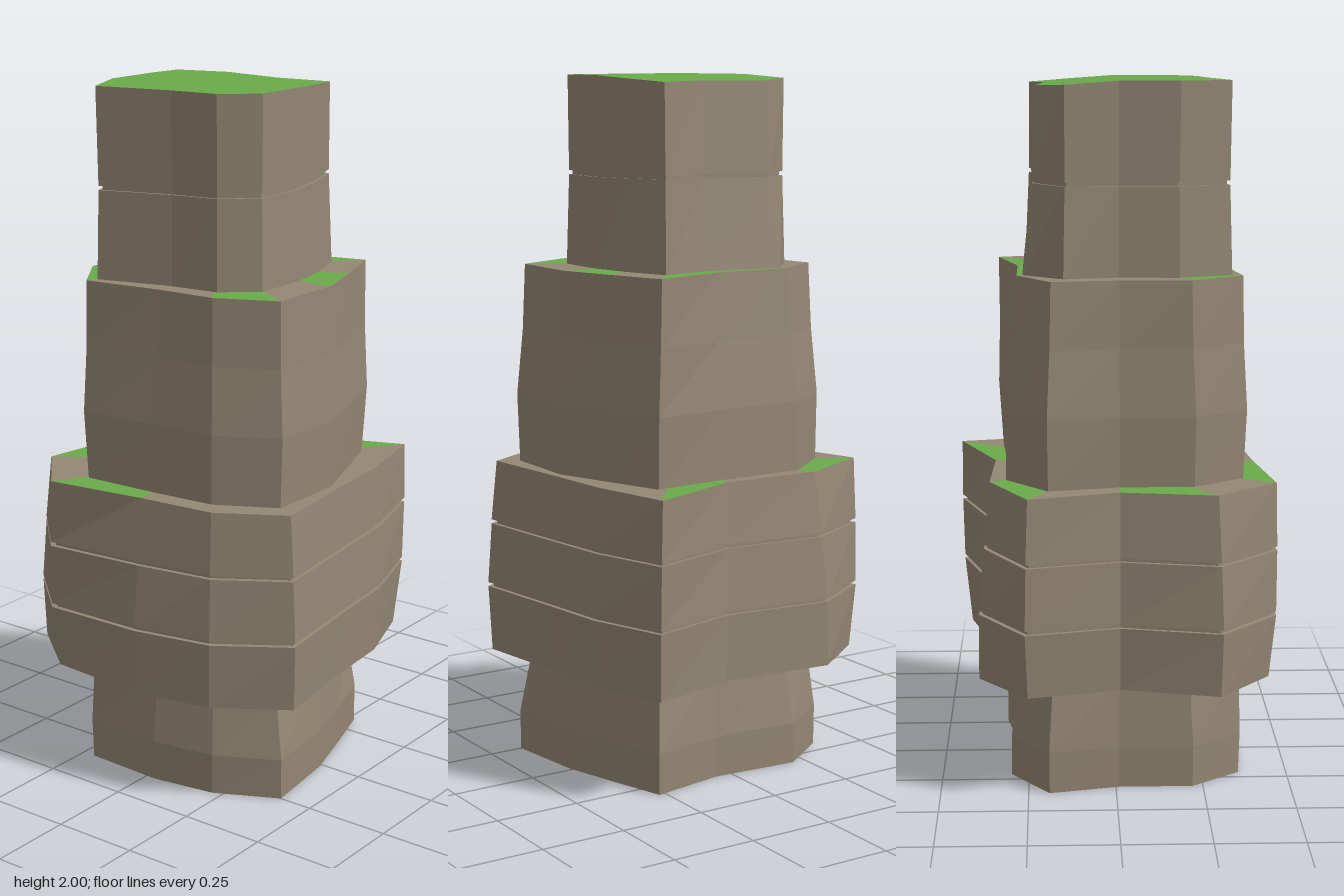
import * as THREE from 'three';

const N = 12; // corners per outline, running from +x towards +z

const rock = new THREE.MeshStandardMaterial({ color: 0x948774, flatShading: true });
rock.name = 'rock';
const grass = new THREE.MeshStandardMaterial({ color: 0x6aaa4a, flatShading: true });
grass.name = 'grass';

// Outlines as x, z pairs: lower and upper edge of each tier
const OUTLINES = {
  base: [
    [0.37, 0.01, 0.40, 0.25, 0.22, 0.34, 0.03, 0.37, -0.21, 0.36, -0.32, 0.22,
      -0.32, 0.01, -0.365, -0.19, -0.21, -0.30, 0.05, -0.28, 0.27, -0.32, 0.32, -0.16],
    [0.35, 0.01, 0.365, 0.23, 0.21, 0.32, 0.03, 0.35, -0.20, 0.36, -0.31, 0.21,
      -0.31, 0.01, -0.34, -0.18, -0.19, -0.27, 0.05, -0.26, 0.25, -0.29, 0.31, -0.15],
  ],
  wide: [
    [0.43, 0.01, 0.47, 0.29, 0.27, 0.42, 0.04, 0.465, -0.265, 0.44, -0.45, 0.29,
      -0.38, 0.01, -0.45, -0.25, -0.265, -0.39, 0.07, -0.36, 0.335, -0.43, 0.41, -0.21],
    [0.42, 0.01, 0.45, 0.285, 0.26, 0.395, 0.03, 0.415, -0.27, 0.455, -0.425, 0.28,
      -0.38, 0.01, -0.46, -0.247, -0.235, -0.355, 0.06, -0.345, 0.345, -0.455, 0.40, -0.21],
  ],
  middle: [
    [0.395, 0.01, 0.39, 0.25, 0.22, 0.34, 0.03, 0.355, -0.205, 0.365, -0.315, 0.22,
      -0.315, 0.01, -0.36, -0.19, -0.21, -0.31, 0.055, -0.31, 0.275, -0.325, 0.335, -0.16],
    [0.38, 0.01, 0.375, 0.235, 0.205, 0.315, 0.03, 0.325, -0.205, 0.36, -0.31, 0.21,
      -0.305, 0.01, -0.335, -0.18, -0.185, -0.275, 0.05, -0.275, 0.27, -0.335, 0.33, -0.16],
  ],
  top: [
    [0.275, 0.01, 0.27, 0.175, 0.175, 0.255, 0.03, 0.272, -0.19, 0.33, -0.25, 0.18,
      -0.24, 0.01, -0.275, -0.145, -0.175, -0.26, 0.05, -0.23, 0.205, -0.255, 0.25, -0.12],
    [0.27, 0.01, 0.265, 0.17, 0.17, 0.25, 0.03, 0.27, -0.19, 0.325, -0.25, 0.18,
      -0.24, 0.01, -0.27, -0.14, -0.15, -0.22, 0.05, -0.197, 0.20, -0.24, 0.24, -0.12],
  ],
};

// One row of corners: blend of both outlines, scaled, with a slight slope in y
function ring([lower, upper], { y, t, s = 1, kx = 0, kz = 0 }) {
  return Array.from({ length: N }, (_, i) => {
    const x = THREE.MathUtils.lerp(lower[2 * i], upper[2 * i], t) * s;
    const z = THREE.MathUtils.lerp(lower[2 * i + 1], upper[2 * i + 1], t) * s;
    return [x, y + kx * x + kz * Math.min(0, z), z];
  });
}

// Four rows forming a thin crack between two strata
function crack(y, t, s) {
  const k = { t, kx: 0.012, kz: -0.015 };
  return [[-0.006, s], [-0.006, s * 0.97], [0.006, s * 0.97], [0.006, s]]
    .map(([dy, sc]) => ({ ...k, y: y + dy, s: sc }));
}

// Closed faceted tier; grassWedges lists the cap segments that are green
function tier(name, outlines, rows, grassWedges) {
  const rings = rows.map((row) => ring(outlines, row));
  const stone = [], green = [];
  const first = rings[0], last = rings[rings.length - 1];
  const low = [0, rows[0].y, 0], high = [0, rows[rows.length - 1].y, 0];
  for (let i = 0; i < N; i++) {
    const j = (i + 1) % N;
    for (let r = 0; r < rings.length - 1; r++) {
      const a = rings[r], b = rings[r + 1];
      stone.push(a[j], a[i], b[i], a[j], b[i], b[j]);
    }
    stone.push(low, first[i], first[j]);
    (grassWedges.includes(i) ? green : stone).push(high, last[j], last[i]);
  }
  const geometry = new THREE.BufferGeometry();
  geometry.setAttribute('position',
    new THREE.Float32BufferAttribute([...stone, ...green].flat(), 3));
  geometry.addGroup(0, stone.length, 0);
  geometry.addGroup(stone.length, green.length, 1);
  geometry.computeVertexNormals();
  const mesh = new THREE.Mesh(geometry, [rock, grass]);
  mesh.name = name;
  return mesh;
}

export function createModel() {
  const group = new THREE.Group();
  group.name = 'rockPillar';

  // Narrow foot
  group.add(tier('baseTier', OUTLINES.base, [
    { y: 0, t: 0 }, { y: 0.12, t: 0.1, s: 1.01 }, { y: 0.32, t: 1 },
  ], []));

  // Wide overhanging band of three strata
  group.add(tier('wideTier', OUTLINES.wide, [
    { y: 0.31, t: 0 },
    ...crack(0.503, 0.33, 1.03),
    ...crack(0.693, 0.67, 1.02),
    { y: 0.88, t: 1 },
  ], [3, 5, 7, 9]));

  // Tall middle block, slightly bulged
  group.add(tier('middleTier', OUTLINES.middle, [
    { y: 0.87, t: 0 }, { y: 1.08, t: 0.35, s: 1.03 },
    { y: 1.27, t: 0.7, s: 1.005 }, { y: 1.46, t: 1 },
  ], [1, 4, 8, 9, 11]));

  // Summit block with one crack and a full grass cap
  group.add(tier('summitTier', OUTLINES.top, [
    { y: 1.45, t: 0 },
    ...crack(1.72, 0.6, 0.985),
    { y: 2, t: 1, kz: 0.07 },
  ], [...Array(N).keys()]));

  return group;
}
